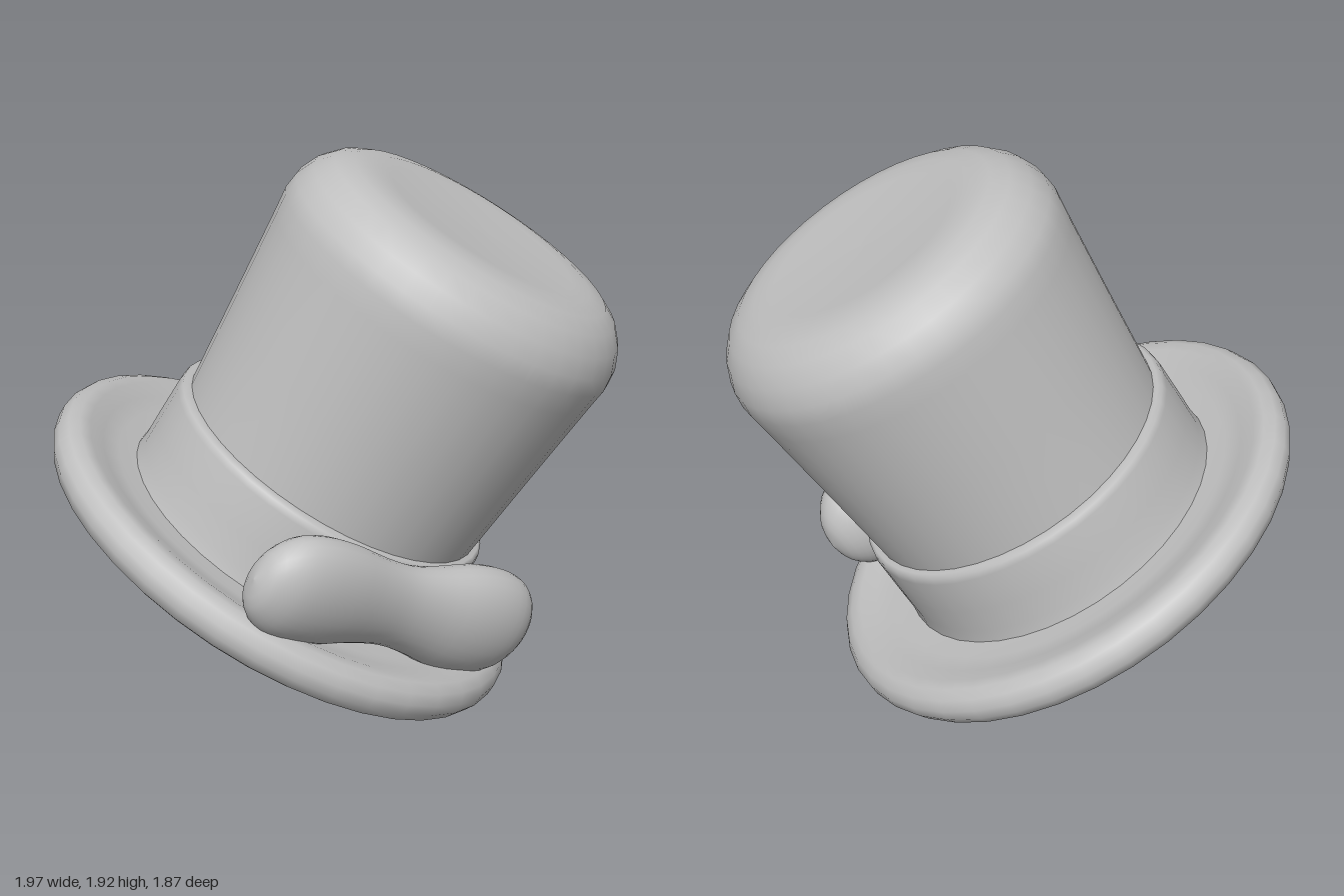
import * as THREE from 'three';

// Smooth surface of revolution from a few [radius, height] points
function lathe(name, points, material, sides = 40) {
  const geometry = new THREE.LatheGeometry(points.map(([r, h]) => new THREE.Vector2(r, h)), sides);
  const mesh = new THREE.Mesh(geometry, material);
  mesh.name = name;
  return mesh;
}

export function createModel() {
  const model = new THREE.Group();
  model.name = 'topHat';
  const felt = new THREE.MeshStandardMaterial({ color: 0xc0c0c0 });
  felt.name = 'grey felt';

  // Direction the hat leans in, and the centre of its brim
  const axis = new THREE.Vector3(0.5, 0.86, 0.09).normalize();
  const hat = new THREE.Group();
  hat.name = 'tiltedHat';
  hat.position.set(-0.18, 0.53, 0);
  hat.quaternion.setFromUnitVectors(new THREE.Vector3(0, 1, 0), axis);
  model.add(hat);

  // Brim: flat below, with a rounded, slightly raised rim
  hat.add(lathe('brim', [
    [0, -0.075], [0.6, -0.075], [0.82, -0.075], [0.87, -0.07], [0.905, -0.05], [0.925, -0.01],
    [0.925, 0.03], [0.905, 0.065], [0.87, 0.085], [0.83, 0.085], [0.77, 0.065], [0.7, 0.05], [0.55, 0.05],
  ], felt));

  // Crown: widens upwards, rounded shoulder, faintly dished top
  hat.add(lathe('crown', [
    [0.57, 0.03], [0.585, 0.38], [0.61, 0.7], [0.64, 1.06], [0.648, 1.14], [0.64, 1.2], [0.61, 1.265],
    [0.56, 1.32], [0.5, 1.352], [0.43, 1.365], [0.36, 1.362], [0.2, 1.352], [0, 1.35],
  ], felt));

  // Band around the base of the crown
  hat.add(lathe('band', [
    [0.63, 0.04], [0.622, 0.1], [0.622, 0.2], [0.62, 0.34], [0.615, 0.365], [0.602, 0.375], [0.57, 0.375],
  ], felt));

  // Two-lobed ornament: a pinched capsule flattened against the band
  const profile = new THREE.SplineCurve([
    [0, -0.6], [0.1, -0.575], [0.17, -0.5], [0.195, -0.4], [0.19, -0.27], [0.165, -0.12], [0.155, 0],
    [0.17, 0.12], [0.205, 0.27], [0.21, 0.4], [0.18, 0.51], [0.1, 0.585], [0, 0.61],
  ].map(([r, h]) => new THREE.Vector2(r, h)));
  const points = profile.getPoints(36).map((p) => [Math.max(p.x, 0), p.y]);
  const ornament = lathe('ornament', points, felt, 28);
  const along = new THREE.Vector3(0.61, -0.31, -0.35).normalize();
  const outward = new THREE.Vector3().crossVectors(along, axis).normalize();
  const across = new THREE.Vector3().crossVectors(outward, along);
  ornament.quaternion.setFromRotationMatrix(new THREE.Matrix4().makeBasis(outward, along, across));
  ornament.scale.x = 0.64;
  ornament.position.set(0.145, 0.55, 0.625);
  model.add(ornament);

  return model;
}
